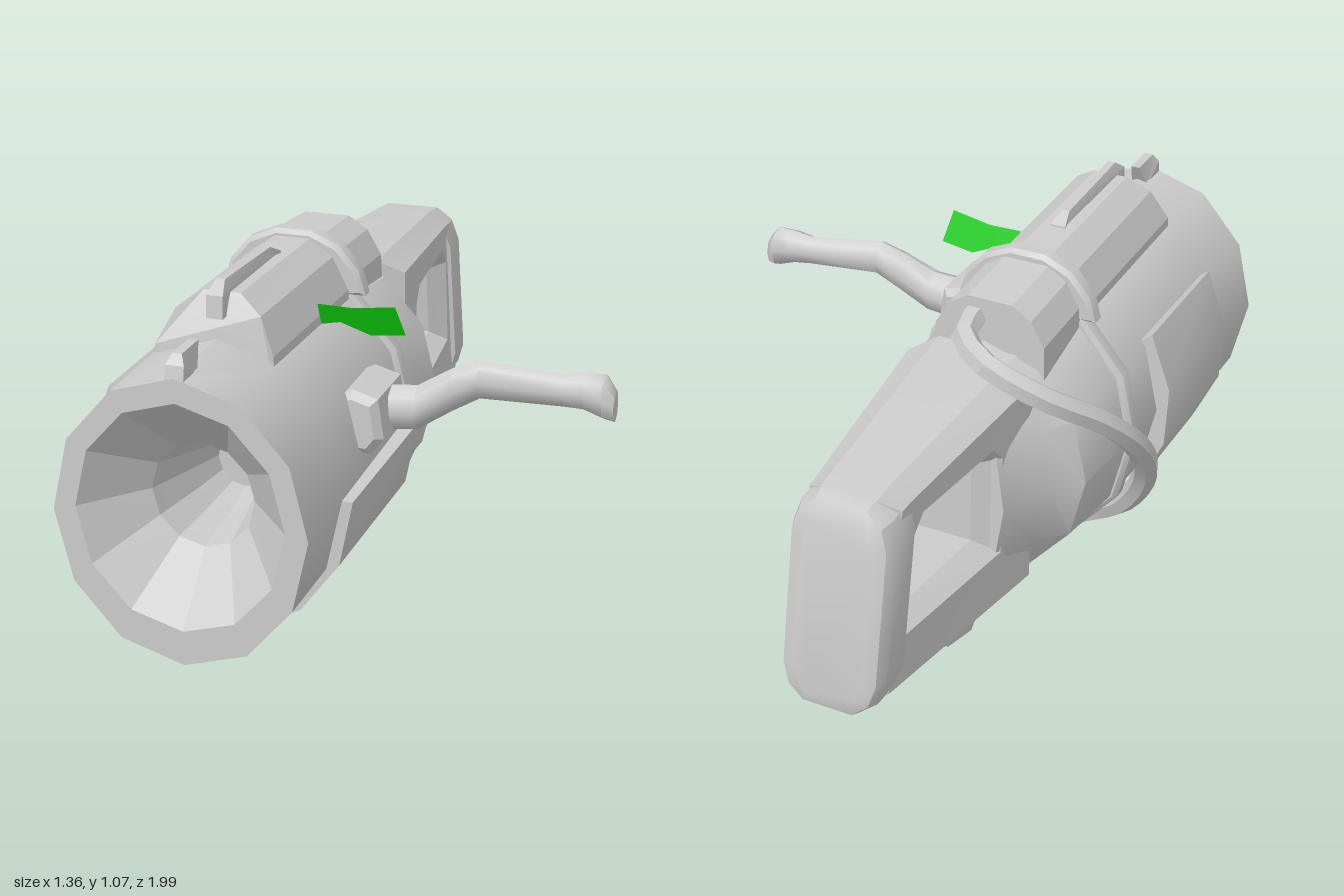
import * as THREE from 'three';
import { toCreasedNormals } from 'three/addons/utils/BufferGeometryUtils.js';

const CX = -0.265, CY = 0.53; // barrel axis
const grey = new THREE.MeshStandardMaterial({ color: 0xcccccc, side: THREE.DoubleSide });
const green = new THREE.MeshStandardMaterial({ color: 0x0ccc0c, side: THREE.DoubleSide });

function part(group, name, geometry, material = grey, crease = 0.6) {
  const mesh = new THREE.Mesh(toCreasedNormals(geometry, crease), material);
  mesh.name = name;
  group.add(mesh);
}

// Skin over elliptical rings [z, cx, cy, rx, ry], ordered towards -z on the outside
function loft(sections, sides) {
  const pos = [], index = [];
  sections.forEach(([z, cx, cy, rx, ry], i) => {
    for (let j = 0; j < sides; j++) {
      const t = (j / sides) * Math.PI * 2;
      pos.push(cx + rx * Math.cos(t), cy + ry * Math.sin(t), z);
      if (i === 0) continue;
      const a = (i - 1) * sides + j, b = (i - 1) * sides + (j + 1) % sides;
      index.push(a, a + sides, b, b, a + sides, b + sides);
    }
  });
  const g = new THREE.BufferGeometry();
  g.setAttribute('position', new THREE.Float32BufferAttribute(pos, 3));
  g.setIndex(index);
  return g;
}

const toShape = pts => new THREE.Shape(pts.map(p => new THREE.Vector2(...p)));

// Outline in x, y pushed out along z
function alongZ(pts, z0, z1, bevel = 0) {
  return new THREE.ExtrudeGeometry(toShape(pts), {
    depth: z1 - z0 - 2 * bevel, bevelEnabled: bevel > 0, bevelThickness: bevel, bevelSize: bevel,
    bevelOffset: -bevel, bevelSegments: 1,
  }).translate(0, 0, z0 + bevel);
}

// Side outline in z, y given a width across x, centred on the barrel
function alongX(pts, width, x = CX) {
  return new THREE.ExtrudeGeometry(toShape(pts.map(([z, y]) => [-z, y])), { depth: width, bevelEnabled: false })
    .rotateY(Math.PI / 2).translate(x - width / 2, 0, 0);
}

function moveVertices(geometry, rule) {
  const p = geometry.attributes.position, v = new THREE.Vector3();
  for (let i = 0; i < p.count; i++) {
    rule(v.fromBufferAttribute(p, i));
    p.setXYZ(i, v.x, v.y, v.z);
  }
  return geometry;
}

// Narrow the free edge of a fin
const pinch = (geometry, isTip) => moveVertices(geometry, v => {
  if (isTip(v)) v.x = CX + (v.x - CX) * 0.5;
});

// Points on an ellipse about the barrel axis, angles in degrees
function arc(rx, ry, from, to, steps) {
  return Array.from({ length: steps + 1 }, (_, i) => {
    const t = THREE.MathUtils.degToRad(from + (to - from) * i / steps);
    return [CX + rx * Math.cos(t), CY + ry * Math.sin(t)];
  });
}

// Right half outline [dx, y] completed by its mirror image
const mirrored = half => [
  ...half.map(([x, y]) => [CX + x, y]),
  ...[...half].reverse().map(([x, y]) => [CX - x, y]),
];

export function createModel() {
  const model = new THREE.Group();
  model.name = 'barrelTool';

  // Faceted muzzle funnel with a stepped throat
  part(model, 'muzzleFunnel', loft([
    [0.55, CX, 0.525, 0, 0], [0.55, CX, 0.525, 0.075, 0.08], [0.67, CX, 0.53, 0.105, 0.11],
    [0.84, CX, 0.545, 0.14, 0.145], [1, CX, 0.545, 0.28, 0.31], [1, CX, CY, 0.34, 0.39],
  ], 12), grey, 0.1);

  // Barrel and the shoulder that narrows to the grip
  part(model, 'barrel', loft([
    [1, CX, CY, 0.34, 0.39], [0.74, CX, CY, 0.337, 0.395], [0.13, CX, CY, 0.322, 0.38],
    [-0.12, -0.25, 0.52, 0.31, 0.358], [-0.2, -0.25, 0.52, 0.235, 0.348],
    [-0.35, -0.24, 0.52, 0.185, 0.335], [-0.35, -0.24, 0.52, 0, 0],
  ], 12));

  // Curved side panels
  for (const [name, from, to, z0, z1] of [
    ['leftPanel', -80, 0, 0.18, 0.74], ['rightPanel', 145, 220, 0.3, 0.73]]) {
    part(model, name, alongZ([...arc(0.366, 0.408, from, to, 3), ...arc(0.3, 0.34, to, from, 3)], z0, z1));
  }

  // Clamp ring, raised over the top housing
  const bump = mirrored([[0.205, 0.87], [0.185, 0.94], [0.13, 1.005], [0.05, 1.04]]);
  part(model, 'clampRing', alongZ([...arc(0.338, 0.392, -240, 60, 10), ...bump], 0.105, 0.165, 0.012));

  // Top housing: long front block and rounder rear block
  const frontOutline = mirrored([[0.165, 0.78], [0.16, 0.9], [0.115, 0.99], [0.05, 1.035]]);
  part(model, 'topHousing', moveVertices(alongZ(frontOutline, 0.13, 0.74), v => {
    if (v.z > 0.7) v.z -= Math.max(0, v.y - 0.94) * 0.7;
    else v.y -= 0.015;
  }), grey, 0.3);
  const rearOutline = mirrored([[0.165, 0.78], [0.16, 0.91], [0.12, 0.98], [0.065, 1.015]]);
  part(model, 'rearHousing', moveVertices(alongZ(rearOutline, -0.12, 0.12), v => {
    if (v.z < 0) v.y -= 0.012;
  }), grey, 0.3);
  part(model, 'topFin', pinch(alongX([[0.73, 0.98], [0.725, 1.04], [0.68, 1.07], [0.36, 1.055], [0.31, 1.03], [0.31, 0.99]], 0.045),
    v => v.y > 1.05), grey, 0.3);
  part(model, 'frontSight', pinch(alongX([[1, 0.9], [0.99, 0.95], [0.97, 0.975], [0.865, 0.975], [0.91, 0.9]], 0.05),
    v => v.y > 0.96), grey, 0.3);

  // Rear grip: bevelled loop with a hand opening, tapering backwards
  const grip = toShape([[0.14, 0.87], [0.78, 0.825], [0.85, 0.815], [0.93, 0.24], [0.9, 0.235], [0.14, 0.17]]);
  grip.holes.push(new THREE.Path([[0.375, 0.42], [0.76, 0.435], [0.73, 0.65], [0.7, 0.685], [0.4, 0.685], [0.375, 0.66]]
    .map(p => new THREE.Vector2(...p))));
  const gripGeometry = new THREE.ExtrudeGeometry(grip, {
    depth: 1, bevelThickness: 0.5, bevelSize: 0.04, bevelOffset: -0.04, bevelSegments: 1,
  }).rotateY(Math.PI / 2).translate(-0.5, 0, 0);
  part(model, 'rearGrip', moveVertices(gripGeometry, v => {
    const width = THREE.MathUtils.mapLinear(Math.min(-v.z, 0.8), 0.2, 0.8, 0.185, 0.13);
    v.x = CX + 0.025 + Math.sign(v.x) * width * (Math.abs(v.x) > 0.7 ? 1 : 0.6);
  }), grey, 0.3);

  // Rounded end cap, sheared to follow the sloped back of the grip
  const cap = toShape([[0.145, 0.34], [0.145, 0.71], [0.125, 0.775], [0.075, 0.815], [-0.075, 0.815], [-0.125, 0.775],
    [-0.145, 0.71], [-0.145, 0.34], [-0.125, 0.275], [-0.075, 0.235], [0.075, 0.235], [0.125, 0.275]]);
  const capGeometry = new THREE.ExtrudeGeometry(cap, {
    depth: 0.09, bevelThickness: 0.05, bevelSize: 0.045, bevelOffset: -0.045, bevelSegments: 2,
  }).translate(CX + 0.025, 0, -0.9);
  part(model, 'gripEnd', moveVertices(capGeometry, v => {
    if (v.z > -0.82) v.z = -0.81;
    v.z += (v.y - 0.52) * 0.17;
  }), grey, 0.5);

  // Trigger inside the opening
  part(model, 'trigger', alongX([[-0.39, 0.72], [-0.41, 0.61], [-0.49, 0.57], [-0.655, 0.6],
    [-0.655, 0.63], [-0.5, 0.61], [-0.45, 0.635], [-0.45, 0.72]], 0.06, -0.24));

  // Side crank: mount, bent arm and flared knob, as rings along x
  part(model, 'crankMount', alongZ([[0, 0.58], [0.08, 0.575], [0.115, 0.62], [0.1, 0.73], [0.03, 0.75], [-0.03, 0.72]],
    0.32, 0.55, 0.02), grey, 0.3);
  const arm = [ // x, y, z, half depth, half height
    [0.685, 0.725, 0.35, 0, 0], [0.685, 0.715, 0.35, 0.03, 0.045], [0.655, 0.735, 0.345, 0.05, 0.062],
    [0.6, 0.745, 0.345, 0.045, 0.052], [0.55, 0.742, 0.352, 0.035, 0.045], [0.33, 0.757, 0.38, 0.04, 0.053],
    [0.26, 0.725, 0.39, 0.045, 0.06], [0.17, 0.672, 0.41, 0.055, 0.062], [0.04, 0.66, 0.42, 0.06, 0.065],
  ];
  part(model, 'crankArm', loft(arm.map(([x, y, z, d, h]) => [x, -z, y, d, h]), 8).rotateY(Math.PI / 2), grey, 0.85);

  // Thin coloured flag
  const flag = new THREE.ShapeGeometry(toShape([[-0.105, 0.865], [-0.05, 0.878], [0.03, 0.845],
    [0.128, 0.857], [0.11, 0.945], [-0.01, 0.928], [-0.105, 0.93]]));
  part(model, 'flag', moveVertices(flag, v => { v.z = 0.38 + (v.y - 0.85) * 0.4; }), green);

  // Hose looping from the housing round the side to the underside
  const path = new THREE.CatmullRomCurve3([
    [-0.22, 0.945, -0.08], [-0.23, 0.93, -0.2], [-0.32, 0.895, -0.26], [-0.47, 0.82, -0.23], [-0.59, 0.71, -0.1],
    [-0.64, 0.56, 0.05], [-0.605, 0.37, 0.2], [-0.505, 0.205, 0.28], [-0.37, 0.11, 0.32], [-0.27, 0.085, 0.24],
    [-0.255, 0.075, 0.05], [-0.255, 0.04, -0.12], [-0.255, 0.07, -0.24], [-0.255, 0.13, -0.34],
  ].map(p => new THREE.Vector3(...p)));
  part(model, 'hose', new THREE.TubeGeometry(path, 36, 0.036, 6), grey, 0.3);

  // Underside brackets holding the hose
  part(model, 'frontBracket', pinch(alongX([[0.1, 0.2], [0.03, 0.03], [0, 0.03], [-0.17, 0.2]], 0.11), v => v.y < 0.05));
  part(model, 'rearBracket', pinch(alongX([[-0.15, 0.22], [-0.26, 0.03], [-0.46, 0.115], [-0.53, 0.22]], 0.11), v => v.y < 0.05));

  return model;
}
